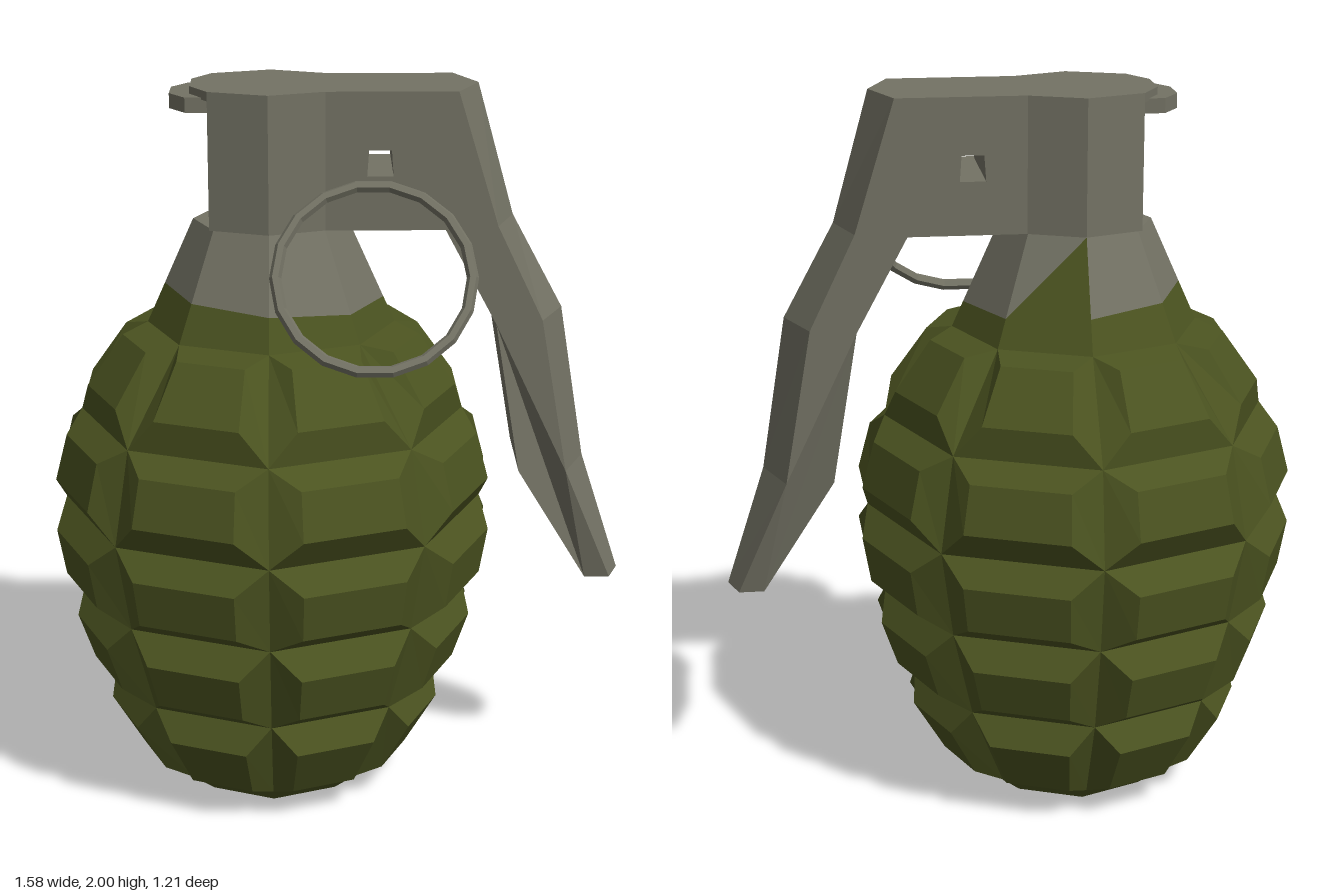
import * as THREE from 'three';

const olive = new THREE.MeshStandardMaterial({ color: 0x4b5320 });
olive.name = 'olive paint';
const steel = new THREE.MeshStandardMaterial({ color: 0x737264 });
steel.name = 'grey steel';

const CX = -0.19, SIDES = 8, STEP = Math.PI * 2 / SIDES;

// point on the body: radius, angle from the front, height
const polar = (r, a, y) => [CX + r * Math.sin(a), y, r * Math.cos(a)];

// collects flat faces, corners counter-clockwise from outside
class Faces {
  constructor() { this.p = []; }
  tri(a, b, c) { this.p.push(...a, ...b, ...c); }
  quad(a, b, c, d) { this.tri(a, b, c); this.tri(a, c, d); }
  build() {
    const g = new THREE.BufferGeometry();
    g.setAttribute('position', new THREE.Float32BufferAttribute(this.p, 3));
    g.computeVertexNormals();
    return g;
  }
}

function flat(geometry) {
  const g = geometry.index ? geometry.toNonIndexed() : geometry;
  g.computeVertexNormals();
  return g;
}

// plan outline in x and z, filled downwards from the given top
function slab(points, top, depth) {
  const shape = new THREE.Shape(points.map(([x, z]) => new THREE.Vector2(x, z)));
  const g = new THREE.ExtrudeGeometry(shape, { depth, bevelEnabled: false });
  return g.rotateX(Math.PI / 2).translate(0, top, 0);
}

export function createModel() {
  const model = new THREE.Group();
  const add = (name, geometry, material) => {
    const mesh = new THREE.Mesh(geometry, material);
    mesh.name = name;
    model.add(mesh);
    return mesh;
  };

  // body: grooves [height, radius] with a raised panel between each pair
  const grooves = [[0.06, 0.32], [0.32, 0.455], [0.58, 0.535], [0.83, 0.582], [1.09, 0.53], [1.34, 0.34]];
  const panels = [ // bottom height, radius, top height, radius
    [0.09, 0.38, 0.24, 0.47], [0.37, 0.515, 0.5, 0.56], [0.63, 0.587, 0.76, 0.61],
    [0.91, 0.607, 1.04, 0.573], [1.18, 0.51, 1.32, 0.41],
  ];
  const inset = 0.15;
  const body = new Faces();
  for (let k = 0; k < SIDES; k++) {
    const a0 = k * STEP, a1 = a0 + STEP;
    panels.forEach(([yb, rb, yt, rt], j) => {
      const [y0, r0] = grooves[j], [y1, r1] = grooves[j + 1];
      const outer = [polar(r0, a0, y0), polar(r0, a1, y0), polar(r1, a1, y1), polar(r1, a0, y1)];
      const b0 = a0 + inset, b1 = a1 - inset;
      const raised = [polar(rb, b0, yb), polar(rb, b1, yb), polar(rt, b1, yt), polar(rt, b0, yt)];
      body.quad(...raised);
      for (let i = 0; i < 4; i++) {
        const n = (i + 1) % 4;
        body.quad(outer[i], outer[n], raised[n], raised[i]);
      }
    });
    // bevelled foot
    body.quad(polar(0.245, a0, 0), polar(0.245, a1, 0), polar(0.32, a1, 0.06), polar(0.32, a0, 0.06));
  }
  add('body', body.build(), olive);
  add('base', flat(new THREE.CircleGeometry(0.245, SIDES).rotateX(Math.PI / 2).translate(CX, 0, 0)), olive);

  // neck: painted below a slightly tilted line, bare steel above
  const lower = new Faces(), upper = new Faces();
  const line = (a) => {
    const y = 1.43 - 0.02 * Math.sin(a);
    return polar(0.34 - 0.13 * (y - 1.34) / 0.29, a, y);
  };
  for (let k = 0; k < SIDES; k++) {
    const a0 = k * STEP, a1 = a0 + STEP;
    const t0 = polar(0.21, a0, 1.63), t1 = polar(0.21, a1, 1.63);
    lower.quad(polar(0.34, a0, 1.34), polar(0.34, a1, 1.34), line(a1), line(a0));
    // one facet at the back has paint running up to the cap
    (k === 3 ? lower : upper).tri(line(a0), line(a1), t1);
    upper.tri(line(a0), t1, t0);
  }
  add('paintedNeck', lower.build(), olive);
  add('steelNeck', upper.build(), steel);
  add('neckTop', flat(new THREE.CircleGeometry(0.21, SIDES).rotateX(-Math.PI / 2).translate(CX, 1.63, 0)), steel);

  // fuze head with a slot on its outer side, closed by a lid and a hooked lip
  add('fuzeHead', slab([
    [-0.35, 0.15], [-0.35, 0.1], [-0.31, 0.1], [-0.31, -0.1], [-0.35, -0.1], [-0.35, -0.15],
    [-0.19, -0.21], [-0.04, -0.15], [-0.04, 0.15], [-0.19, 0.21],
  ], 2, 0.37), steel);
  add('headLid', slab([
    [-0.4, 0.06], [-0.4, -0.06], [-0.35, -0.15], [-0.3, -0.15], [-0.3, 0.15], [-0.35, 0.15],
  ], 2, 0.025), steel);
  add('lidLip', slab([
    [-0.455, 0.05], [-0.455, -0.05], [-0.41, -0.12], [-0.34, -0.12], [-0.34, 0.12], [-0.41, 0.12],
  ], 1.98, 0.04), steel);

  // lever: side outline with a pin hole, narrowing towards the tip
  const spine = [ // height, edge x, crest x, half width
    [2, 0.31, 0.37, 0.15], [1.64, 0.42, 0.47, 0.15], [1.38, 0.545, 0.61, 0.15],
    [0.95, 0.62, 0.68, 0.15], [0.61, 0.76, 0.79, 0.08],
  ];
  const inner = [[0.69, 0.61], [0.49, 0.95], [0.42, 1.37], [0.28, 1.63], [-0.06, 1.63], [-0.06, 2]];
  const outline = [...spine.map(([y, x]) => [x, y]), ...inner];
  const leverShape = new THREE.Shape(outline.map(([x, y]) => new THREE.Vector2(x, y)));
  leverShape.holes.push(new THREE.Path(
    [[0.07, 1.775], [0.14, 1.775], [0.135, 1.845], [0.075, 1.845]].map(([x, y]) => new THREE.Vector2(x, y))));
  const lever = new THREE.ExtrudeGeometry(leverShape, { depth: 0.3, bevelEnabled: false }).translate(0, 0, -0.15);
  const pos = lever.attributes.position;
  for (let i = 0; i < pos.count; i++) {
    if (pos.getY(i) < 0.9) pos.setZ(i, pos.getZ(i) * 0.08 / 0.15);
  }
  add('lever', flat(lever), steel);

  // ridged outer face along the lever
  const ridge = new Faces();
  const rows = spine.map(([y, e, c, w]) => [[e, y, w], [c, y, 0], [e, y, -w]]);
  for (let i = 0; i < rows.length - 1; i++) {
    const [f, c, b] = rows[i], [f2, c2, b2] = rows[i + 1];
    ridge.quad(f2, c2, c, f);
    ridge.quad(c2, b2, b, c);
  }
  ridge.tri(...rows[0]);
  const tip = rows[rows.length - 1];
  ridge.tri(tip[0], tip[2], tip[1]);
  add('leverRidge', ridge.build(), steel);

  // pull ring hanging in front, tilted outwards at the bottom
  const ring = add('pullRing', flat(new THREE.TorusGeometry(0.257, 0.016, 6, 18)), steel);
  ring.position.set(0.085, 1.545, 0.33);
  ring.rotation.x = -0.58;

  return model;
}
